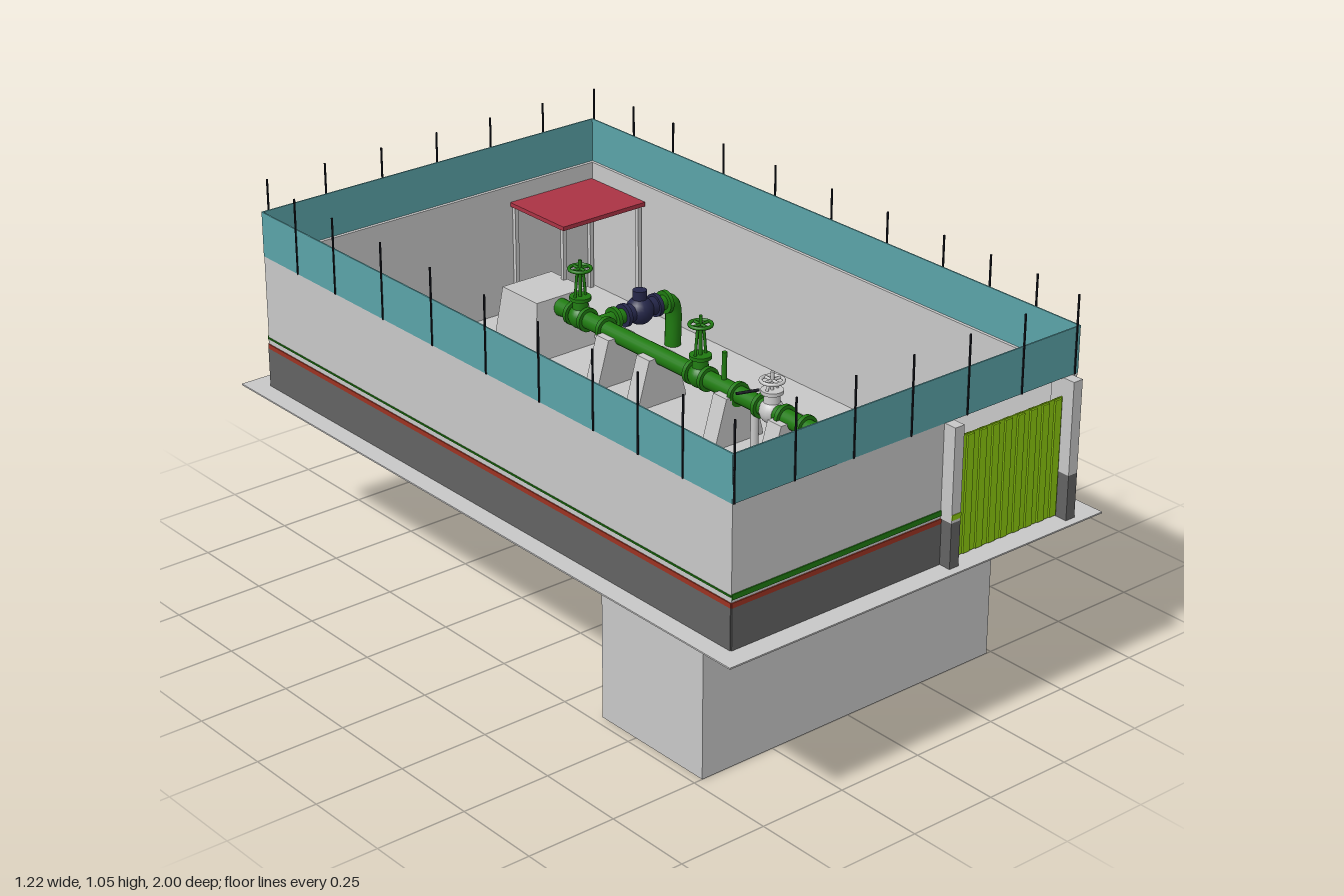
import * as THREE from 'three';

const mat = (name, color) => new THREE.MeshStandardMaterial({ name, color });

export function createModel() {
  const M = {
    concrete: mat('concrete', 0xc8c8c8), dark: mat('dark plinth', 0x636363),
    red: mat('brick red', 0x9c3322), green: mat('pipe green', 0x1f7a10),
    lime: mat('gate lime', 0x8cc80f), teal: mat('fence teal', 0x5aa3a8),
    blue: mat('wall blue', 0x1f6d94), crimson: mat('canopy crimson', 0xab3344),
    navy: mat('valve navy', 0x25274a), black: mat('pole black', 0x15171f),
  };
  const root = new THREE.Group();
  const G = 0.465, X = 0.555, Z = 0.94, PX = 0.18, PY = 0.6;

  const add = (name, geo, m, parent = root) => {
    const mesh = new THREE.Mesh(geo, m);
    mesh.name = name;
    parent.add(mesh);
    return mesh;
  };
  // box given by its extents
  const box = (name, m, x0, x1, y0, y1, z0, z1, parent) => {
    const b = add(name, new THREE.BoxGeometry(x1 - x0, y1 - y0, z1 - z0), m, parent);
    b.position.set((x0 + x1) / 2, (y0 + y1) / 2, (z0 + z1) / 2);
    return b;
  };
  // round bar between two points
  const rod = (name, m, a, b, r, r2 = r, parent = root) => {
    const p = new THREE.Vector3(...a), d = new THREE.Vector3(...b).sub(p);
    const c = add(name, new THREE.CylinderGeometry(r2, r, d.length(), 20), m, parent);
    c.position.copy(p).addScaledVector(d, 0.5);
    c.quaternion.setFromUnitVectors(new THREE.Vector3(0, 1, 0), d.normalize());
    return c;
  };
  // outline extruded along z
  const prism = (name, m, pts, z0, z1, parent) => {
    const s = new THREE.Shape(pts.map(p => new THREE.Vector2(...p)));
    const p = add(name, new THREE.ExtrudeGeometry(s, { depth: z1 - z0, bevelEnabled: false }), m, parent);
    p.position.z = z0;
    return p;
  };
  const tube = (name, m, pts, r) => add(name, new THREE.TubeGeometry(
    new THREE.CatmullRomCurve3(pts.map(p => new THREE.Vector3(...p))), 24, r, 16), m);

  // ground and the buried chamber
  box('groundSlab', M.concrete, -0.61, 0.61, G - 0.004, G, -1, 1);
  box('undergroundChamber', M.concrete, -0.475, 0.485, 0, G - 0.004, 0.37, 0.75);

  // perimeter walls with bands on the outside
  const T = 0.012, E = 0.003;
  const bands = [['plinthBand', M.dark, G, 0.575], ['redBand', M.red, 0.575, 0.588]];
  for (const s of [-1, 1]) {
    const side = (name, m, y0, y1, a, b) =>
      box(name, m, Math.min(s * a, s * b), Math.max(s * a, s * b), y0, y1, -Z, Z);
    side('sideWall', M.concrete, G, 0.84, X - T, X);
    for (const [n, m, y0, y1] of bands) side(n, m, y0, y1, X, X + E);
    side('greenLine', M.green, 0.603, 0.607, X, X + E);
    side('sideScreen', M.teal, 0.84, 0.965, X - 0.003, X + 0.001);
    box('endScreen', M.teal, -X, X, 0.84, 0.965, s * Z - 0.002, s * Z + 0.002);
  }
  const endBands = (x0, x1, z0, z1) => {
    for (const [n, m, y0, y1] of bands) box(n, m, x0, x1, y0, y1, z0, z1);
    box('greenStripe', M.green, x0, x1, 0.596, 0.61, z0, z1);
  };
  box('backWall', M.concrete, -X, X, G, 0.84, -Z, -Z + T);
  endBands(-X, X, -Z - E, -Z);
  for (const [a, b] of [[-X, 0.105], [0.535, X]]) {
    box('frontWall', M.concrete, a, b, G, 0.84, Z - T, Z);
    endBands(a, b, Z, Z + E);
  }

  // fence poles
  const pole = (x, z) => box('fencePole', M.black, x - 0.002, x + 0.002, 0.84, 1.05, z - 0.002, z + 0.002);
  for (let i = 0; i < 7; i++) {
    pole(-0.553 + i * 0.1825, Z + 0.003);
    pole(-0.532 + i * 0.1825, -Z - 0.003);
  }
  for (const z of [0.78, 0.62, 0.455, 0.25, 0.04, -0.18, -0.39, -0.6, -0.77])
    for (const s of [-1, 1]) pole(s * (X + 0.002), z + s * 0.01);

  // gate posts and ribbed gate
  for (const x of [0.105, 0.505]) {
    box('gatePostBase', M.dark, x, x + 0.03, G, 0.588, 0.903, 0.977);
    box('gatePost', M.concrete, x, x + 0.03, 0.588, 0.84, 0.903, 0.977);
  }
  box('gateStripe', M.lime, 0.105, 0.135, 0.596, 0.61, 0.977, 0.979);
  const gate = new THREE.Group();
  gate.name = 'gate';
  root.add(gate);
  box('gateSheet', M.lime, 0.135, 0.51, G + 0.004, 0.79, 0.938, 0.942, gate);
  for (let i = 0; i < 9; i++) {
    const x = 0.137 + i * 0.0425;
    box('gateRib', M.lime, x, x + 0.022, G + 0.006, 0.788, 0.934, 0.947, gate);
  }

  // control house with a recessed entrance
  const plan = (x0, x1, z0, z1, n0, n1, nx) =>
    [[x0, -z0], [x1, -z0], [x1, -n0], [nx, -n0], [nx, -n1], [x1, -n1], [x1, -z1], [x0, -z1]].reverse();
  const slab = (name, m, pts, y0, y1) => {
    const p = prism(name, m, pts, 0, y1 - y0);
    p.rotation.x = -Math.PI / 2;
    p.position.y = y0;
  };
  slab('houseWalls', M.blue, plan(-0.543, -0.297, -0.842, -0.173, -0.602, -0.418, -0.425), G, 0.705);
  slab('houseRoof', M.red, plan(-0.55, -0.29, -0.85, -0.165, -0.595, -0.425, -0.42), 0.705, 0.72);

  // transformer in the recess
  box('transformerTank', M.blue, -0.39, -0.32, G, 0.66, -0.585, -0.43);
  box('transformerRear', M.blue, -0.42, -0.39, G, 0.63, -0.57, -0.445);
  box('transformerFront', M.blue, -0.32, -0.292, G, 0.62, -0.54, -0.48);
  for (let i = 0; i < 4; i++)
    box('coolingFin', M.blue, -0.32, -0.308, 0.49, 0.64, -0.58 + i * 0.048, -0.572 + i * 0.048);

  // canopy in the back corner
  box('canopyRoof', M.crimson, 0.25, 0.54, 0.78, 0.792, -0.935, -0.69);
  for (const x of [0.262, 0.528]) for (const z of [-0.92, -0.705])
    box('canopyPost', M.concrete, x - 0.006, x + 0.006, G, 0.78, z - 0.006, z + 0.006);

  // main pipe, its end bends and flanges
  rod('mainPipe', M.green, [PX, PY, -0.62], [PX, PY, 0.47], 0.024);
  tube('pumpBend', M.green, [[PX, PY, 0.46], [PX, PY - 0.003, 0.495], [PX, PY - 0.022, 0.52], [PX, 0.51, 0.524]], 0.026);
  tube('outletBend', M.green, [[PX, PY, -0.6], [PX, PY - 0.01, -0.65], [PX, 0.52, -0.74], [PX, 0.435, -0.82]], 0.024);
  rod('outletRiser', M.green, [PX, 0.56, -0.74], [PX, 0.53, -0.81], 0.026);
  rod('outletFlange', M.green, [PX, 0.53, -0.805], [PX, 0.526, -0.818], 0.034);
  for (const z of [0.44, 0.38, 0.3, 0.21, 0.12, 0.0, -0.06, -0.42, -0.5, -0.56])
    rod('pipeFlange', M.green, [PX, PY, z - 0.006], [PX, PY, z + 0.006], 0.034);

  // concrete saddles, passing a little through the slab
  for (const z of [0.31, 0.1, -0.21, -0.38]) {
    prism('pipeSaddle', M.concrete,
      [[0.1, 0.44], [0.26, 0.44], [0.26, 0.48], [0.225, PY], [0.135, PY], [0.1, 0.48]], z - 0.026, z + 0.026);
  }
  rod('drainSleeve', M.concrete, [PX, 0.415, 0.185], [PX, 0.58, 0.185], 0.011);
  rod('drainPin', M.black, [PX, 0.385, 0.185], [PX, 0.42, 0.185], 0.004);

  // thrust block
  const block = add('thrustBlock', new THREE.CylinderGeometry(0.085 * Math.SQRT2, 0.105 * Math.SQRT2, 0.165, 4).toNonIndexed(), M.concrete);
  block.geometry.rotateY(Math.PI / 4);
  block.geometry.computeVertexNormals();
  block.scale.z = 0.9;
  block.position.set(0.185, G + 0.0825, -0.695);

  // pump on its base between two plinths
  box('pumpBase', M.green, 0.11, 0.245, G, 0.515, 0.46, 0.6);
  box('pumpDeck', M.green, 0.105, 0.25, 0.515, 0.527, 0.455, 0.605);
  rod('pumpFlange', M.green, [PX, 0.527, 0.524], [PX, 0.542, 0.524], 0.045);
  for (const s of [-1, 1]) {
    const c = 0.183;
    const pts = [[c + s * 0.085, G], [c + s * 0.142, G], [c + s * 0.127, 0.555], [c + s * 0.09, 0.555]];
    prism('pumpPlinth', M.concrete, pts, 0.435, 0.617);
  }

  // valves with bonnet, stem and handwheel
  const valve = (name, m, x, z, top) => {
    const g = new THREE.Group();
    g.name = name;
    root.add(g);
    const body = add('valveBody', new THREE.SphereGeometry(0.034, 20, 14), m, g);
    body.position.set(x, PY, z);
    rod('bonnet', m, [x, PY, z], [x, PY + 0.055, z], 0.024, 0.02, g);
    rod('bonnetFlange', m, [x, PY + 0.05, z], [x, PY + 0.06, z], 0.03, 0.03, g);
    for (const s of [-1, 1]) rod('yoke', m, [x + s * 0.018, PY + 0.06, z], [x + s * 0.01, top - 0.03, z], 0.004, 0.004, g);
    rod('stem', m, [x, PY + 0.05, z], [x, top, z], 0.005, 0.005, g);
    const wheel = add('handwheel', new THREE.TorusGeometry(0.03, 0.005, 8, 24), m, g);
    wheel.rotation.x = Math.PI / 2;
    wheel.position.set(x, top - 0.025, z);
    for (const [a, b] of [[0.03, 0], [0, 0.03]])
      rod('spoke', m, [x - a, top - 0.025, z - b], [x + a, top - 0.025, z + b], 0.004, 0.004, g);
  };
  valve('mainValve', M.green, PX, -0.03, 0.77);
  valve('outletValve', M.green, PX, -0.53, 0.765);
  valve('checkValve', M.concrete, PX, 0.25, 0.71);
  rod('checkValveLever', M.black, [0.12, 0.64, 0.18], [PX, 0.64, 0.2], 0.004);
  rod('ventStem', M.green, [PX, PY, 0.065], [PX, 0.7, 0.065], 0.007);

  // side branch with the navy valve
  const bz = -0.46;
  rod('branchPipe', M.green, [PX, PY, bz], [0.43, PY, bz], 0.021);
  tube('branchBend', M.green, [[0.42, PY, bz], [0.435, PY - 0.003, bz], [0.447, PY - 0.02, bz], [0.448, G, bz]], 0.023);
  for (const x of [0.24, 0.275, 0.385, 0.42])
    rod('branchFlange', x > 0.26 && x < 0.4 ? M.navy : M.green, [x - 0.006, PY, bz], [x + 0.006, PY, bz], 0.033);
  add('branchValve', new THREE.SphereGeometry(0.04, 20, 14), M.navy).position.set(0.33, PY, bz);
  rod('branchValveBody', M.navy, [0.275, PY, bz], [0.385, PY, bz], 0.026);
  rod('branchValveCap', M.navy, [0.33, PY, bz], [0.33, 0.66, bz], 0.02);
  return root;
}
